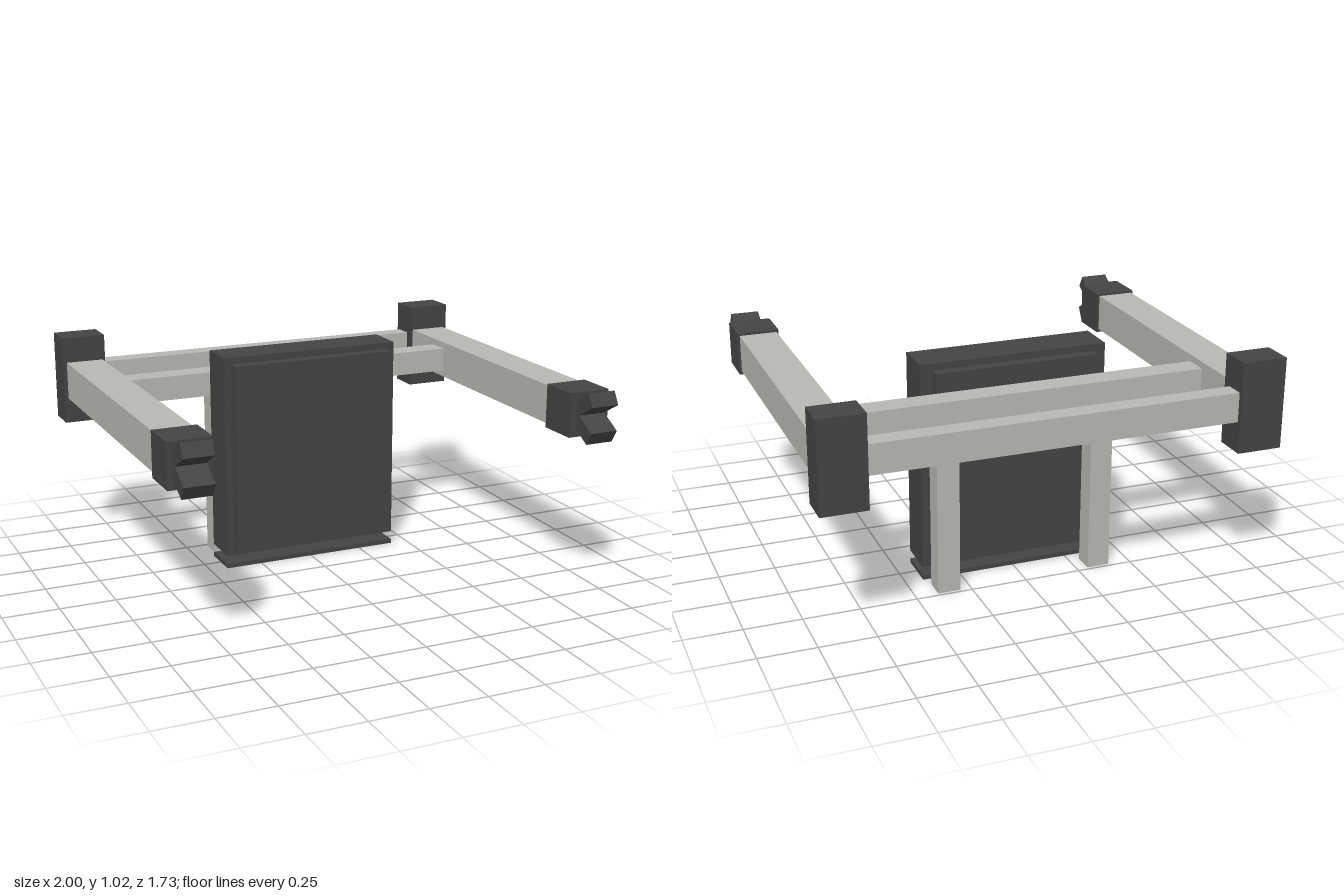
import * as THREE from 'three';

const grey = new THREE.MeshStandardMaterial({ color: 0xb8b8b4 });
grey.name = 'light grey metal';
grey.side = THREE.DoubleSide;
const dark = new THREE.MeshStandardMaterial({ color: 0x444444 });
dark.name = 'charcoal';

// Box given by its lower and upper limits on each axis
function box(name, material, [x0, x1], [y0, y1], [z0, z1]) {
  const mesh = new THREE.Mesh(new THREE.BoxGeometry(x1 - x0, y1 - y0, z1 - z0), material);
  mesh.position.set((x0 + x1) / 2, (y0 + y1) / 2, (z0 + z1) / 2);
  mesh.name = name;
  return mesh;
}

// Same box on the left (+x) or right (-x) side
function sideBox(name, material, side, [x0, x1], y, z) {
  return box(name, material, side > 0 ? [x0, x1] : [-x1, -x0], y, z);
}

// Leg tube, open at the bottom
function openLeg(side) {
  const leg = sideBox('leg', grey, side, [0.3, 0.4], [0, 0.77], [-0.485, -0.391]);
  const index = Array.from(leg.geometry.index.array);
  index.splice(18, 6); // drop the downward face
  leg.geometry.setIndex(index);
  leg.geometry.clearGroups();
  return leg;
}

export function createModel() {
  const model = new THREE.Group();
  model.name = 'liftFrame';

  // Central back pad with raised front and rear panels, and its foot plate
  model.add(
    box('backPad', dark, [-0.42, 0.42], [0.06, 0.99], [-0.34, -0.16]),
    box('frontPanel', dark, [-0.385, 0.385], [0.095, 0.96], [-0.17, -0.105]),
    box('rearPanel', dark, [-0.365, 0.365], [0.095, 0.96], [-0.389, -0.33]),
    box('footPlate', dark, [-0.42, 0.42], [0, 0.02], [-0.34, -0.16]),
  );

  // Cross beams
  model.add(
    box('middleBeam', grey, [-0.82, 0.82], [0.765, 0.875], [-0.498, -0.39]),
    box('rearBeam', grey, [-0.81, 0.81], [0.755, 0.885], [-0.845, -0.76]),
  );

  for (const side of [1, -1]) {
    const arm = new THREE.Group();
    arm.name = side > 0 ? 'leftArm' : 'rightArm';
    arm.add(
      sideBox('armBeam', grey, side, [0.812, 0.982], [0.735, 0.905], [-0.74, 0.58]),
      sideBox('rearPost', dark, side, [0.8, 1], [0.62, 1.02], [-0.865, -0.72]),
      sideBox('wristBlock', dark, side, [0.802, 0.992], [0.72, 0.915], [0.565, 0.75]),
    );
    // Two gripper jaws opening at 30 degrees up and down
    for (const up of [1, -1]) {
      const jaw = new THREE.Mesh(new THREE.BoxGeometry(0.128, 0.064, 0.15), dark);
      jaw.name = up > 0 ? 'upperJaw' : 'lowerJaw';
      jaw.position.set(side * 0.901, 0.818 + up * 0.0465, 0.782);
      jaw.rotation.x = -up * Math.PI / 6;
      arm.add(jaw);
    }
    model.add(arm, openLeg(side));
  }
  return model;
}
